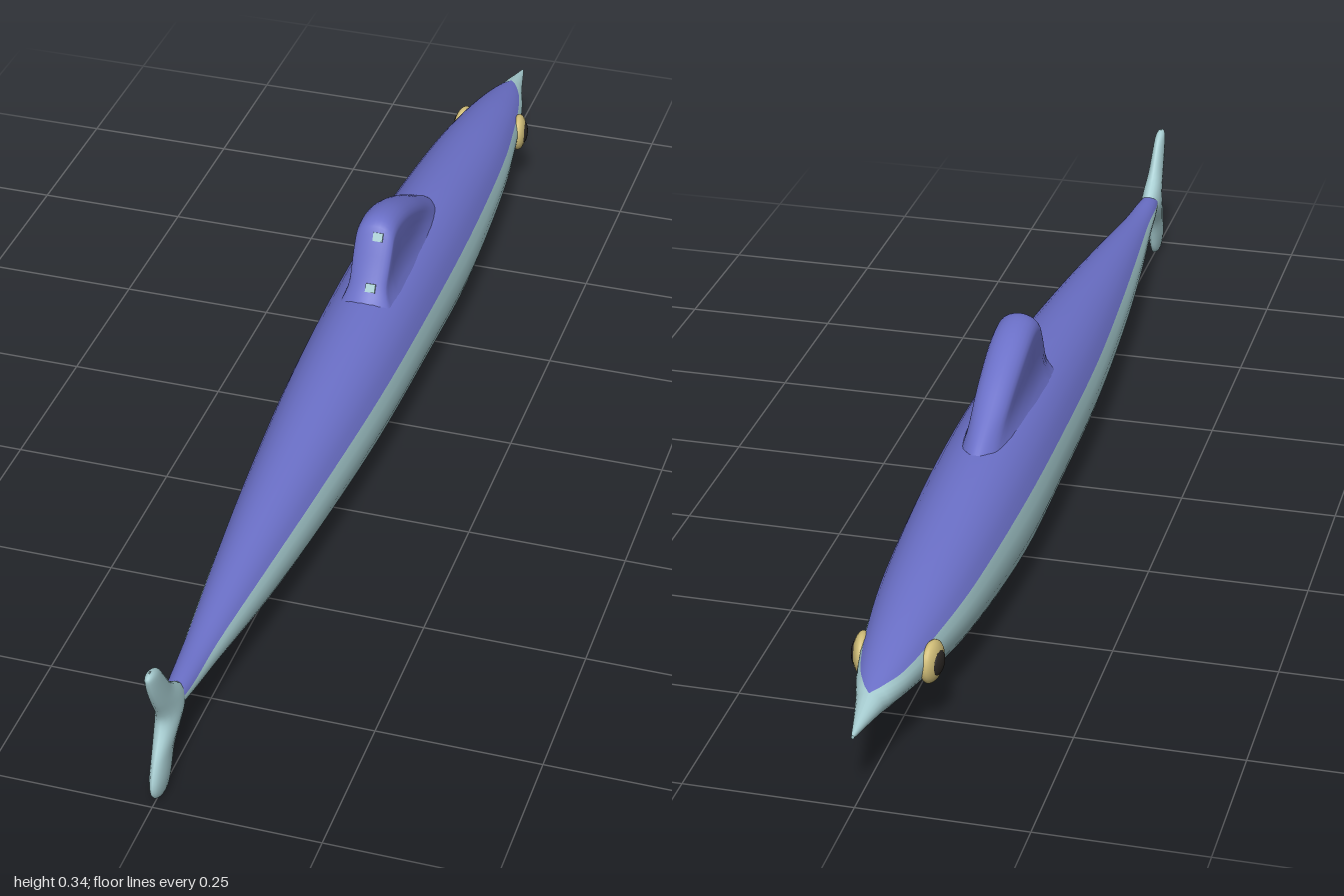
import * as THREE from 'three';

const mat = (color) => new THREE.MeshStandardMaterial({ color, roughness: 0.8, side: THREE.DoubleSide });
const BLUE = mat(0x6b70c8), PALE = mat(0xa8ced2), GOLD = mat(0xd0bd78), DARK = mat(0x2b2724);

// Skins a list of rings of points; closed rings wrap around
function loft(name, rings, material, closed) {
  const n = rings[0].length, m = closed ? n : n - 1, index = [];
  for (let i = 0; i < rings.length - 1; i++) {
    for (let j = 0; j < m; j++) {
      const k = (j + 1) % n, a = i * n + j, b = i * n + k, c = b + n, d = a + n;
      index.push(a, b, c, a, c, d);
    }
  }
  const geo = new THREE.BufferGeometry();
  geo.setAttribute('position', new THREE.Float32BufferAttribute(rings.flat(2), 3));
  geo.setIndex(index);
  geo.computeVertexNormals();
  const mesh = new THREE.Mesh(geo, material);
  mesh.name = name;
  return mesh;
}

// Smoothly resamples rows of [position, a, b, c, d]
function smooth(rows, count) {
  const curve = (p, q) => new THREE.CatmullRomCurve3(
    rows.map((r) => new THREE.Vector3(r[0], r[p], r[q] ?? 0)), false, 'catmullrom', 0.5);
  const c1 = curve(1, 2), c2 = curve(3, 4);
  return Array.from({ length: count + 1 }, (_, i) => {
    const u = c1.getPoint(i / count), v = c2.getPoint(i / count);
    return [u.x, u.y, u.z, v.y, v.z];
  });
}

// Body: z, top, bottom, half width, height of the colour line
const BODY = [
  [-1, 0.118, 0.112, 0.002, 0.118], [-0.92, 0.138, 0.099, 0.02, 0.138],
  [-0.85, 0.155, 0.086, 0.039, 0.14], [-0.75, 0.175, 0.064, 0.057, 0.145],
  [-0.6, 0.197, 0.034, 0.075, 0.15], [-0.35, 0.222, 0.005, 0.088, 0.158],
  [-0.1, 0.229, 0.011, 0.088, 0.161], [0.15, 0.216, 0.02, 0.082, 0.158],
  [0.4, 0.193, 0.037, 0.066, 0.152], [0.6, 0.17, 0.058, 0.048, 0.144],
  [0.78, 0.147, 0.088, 0.028, 0.134], [0.88, 0.14, 0.103, 0.018, 0.127],
  [0.95, 0.132, 0.115, 0.006, 0.125],
];

function bodyArc(upper) {
  return smooth(BODY, 60).map(([z, top, bottom, w, split]) => {
    const mid = bottom + (top - bottom) * 0.53;
    const s = Math.asin(THREE.MathUtils.clamp((split - mid) / (top - mid), -1, 1));
    const from = upper ? s : -Math.PI - s, to = upper ? Math.PI - s : s;
    const steps = upper ? 12 : 18;
    return Array.from({ length: steps + 1 }, (_, j) => {
      const a = from + (to - from) * j / steps, sn = Math.sin(a);
      return [w * Math.cos(a), mid + sn * (sn > 0 ? top - mid : mid - bottom), z];
    });
  });
}

// Dorsal fin: z, ridge height, half width
const FIN = [
  [-0.36, 0.215, 0.012], [-0.33, 0.235, 0.02], [-0.28, 0.264, 0.027], [-0.22, 0.298, 0.03],
  [-0.15, 0.328, 0.032], [-0.1, 0.339, 0.032], [-0.07, 0.334, 0.032], [-0.053, 0.312, 0.032],
  [-0.03, 0.27, 0.031], [-0.01, 0.238, 0.03], [0.015, 0.215, 0.024],
];

function finRings() {
  const base = 0.18;
  return smooth(FIN, 40).map(([z, top, w]) => {
    const cap = Math.min(0.026, (top - base) * 0.6), shoulder = top - cap, half = [];
    for (let i = 0; i < 6; i++) half.push([w, base + (shoulder - base) * i / 6]);
    for (let i = 0; i <= 6; i++) {
      const a = i / 6 * Math.PI / 2;
      half.push([w * Math.cos(a), shoulder + cap * Math.sin(a)]);
    }
    // Flare the sides into the back
    const flared = half.map(([x, y]) =>
      [x * (1 + 0.65 * (Math.max(0, 0.25 - y) / 0.05) ** 2), y, z]);
    return [...flared, ...flared.slice(0, -1).reverse().map(([x, y]) => [-x, y, z])];
  });
}

// Tail: y, leading z, trailing z, half thickness
const TAIL = [
  [0.002, 0.962, 0.968, 0.001], [0.006, 0.942, 0.985, 0.007], [0.02, 0.931, 0.997, 0.01],
  [0.04, 0.924, 0.997, 0.012], [0.07, 0.913, 0.983, 0.013], [0.1, 0.89, 0.963, 0.017],
  [0.12, 0.875, 0.955, 0.018], [0.14, 0.885, 0.961, 0.016], [0.165, 0.918, 0.975, 0.013],
  [0.195, 0.94, 0.99, 0.011], [0.22, 0.958, 0.999, 0.009], [0.23, 0.972, 0.999, 0.006],
  [0.234, 0.984, 0.99, 0.001],
];

function tailRings() {
  return smooth(TAIL, 36).map(([y, front, back, t]) =>
    Array.from({ length: 16 }, (_, j) => {
      const a = j / 16 * Math.PI * 2;
      return [t * Math.sin(a), y, (front + back) / 2 + (back - front) / 2 * Math.cos(a)];
    }));
}

function ball(name, radius, thickness, material, x) {
  const mesh = new THREE.Mesh(new THREE.SphereGeometry(1, 20, 14), material);
  mesh.name = name;
  mesh.scale.set(thickness, radius, radius);
  mesh.position.x = x;
  return mesh;
}

export function createModel() {
  const model = new THREE.Group();
  model.name = 'fish';
  model.add(
    loft('back', bodyArc(true), BLUE, false),
    loft('belly', bodyArc(false), PALE, false),
    loft('dorsalFin', finRings(), BLUE, false),
    loft('tailFin', tailRings(), PALE, true),
  );

  // Eyes, one on each side of the head
  for (const side of [-1, 1]) {
    const eye = new THREE.Group();
    eye.name = side > 0 ? 'leftEye' : 'rightEye';
    eye.add(ball('iris', 0.032, 0.014, GOLD, 0), ball('pupil', 0.019, 0.007, DARK, side * 0.0095));
    eye.position.set(side * 0.051, 0.116, -0.78);
    eye.rotation.y = side * 0.15;
    model.add(eye);
  }

  // Two small pale patches on the fin's trailing edge
  for (const [y, z] of [[0.245, -0.0145], [0.316, -0.056]]) {
    const patch = new THREE.Mesh(new THREE.BoxGeometry(0.016, 0.014, 0.004), PALE);
    patch.name = 'finPatch';
    patch.position.set(0.008, y, z);
    patch.rotation.x = -0.5;
    model.add(patch);
  }
  return model;
}
